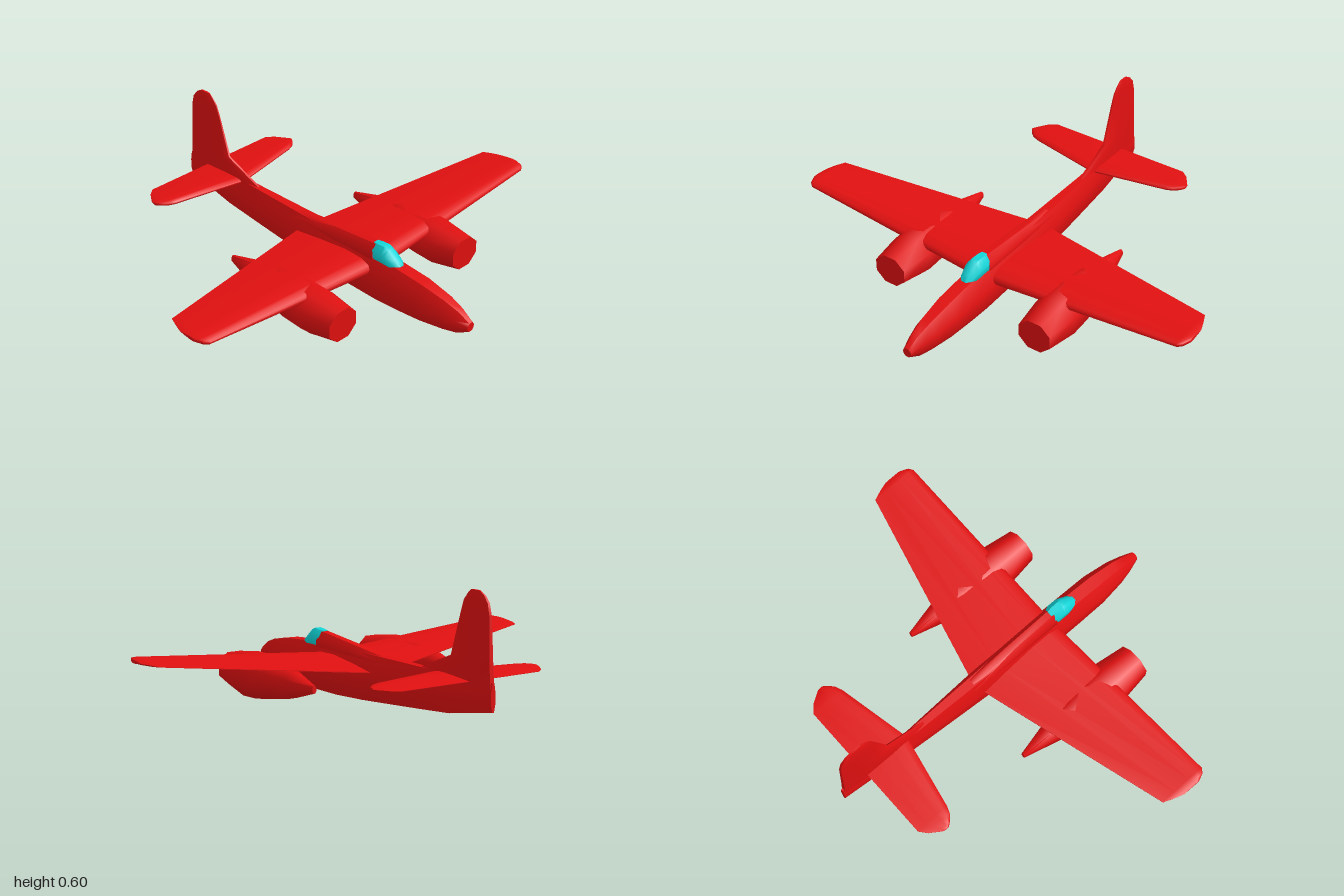
import * as THREE from 'three';
import { toCreasedNormals } from 'three/addons/utils/BufferGeometryUtils.js';

// Skin a list of equal-length rings of [x, y, z] points and close both ends
function loft(rings, crease = 0.9) {
  const n = rings[0].length;
  const pts = rings.flat();
  const tris = [];
  for (let r = 0; r < rings.length - 1; r++) {
    for (let i = 0; i < n; i++) {
      const j = (i + 1) % n;
      const a = r * n + i, b = r * n + j, c = a + n, d = b + n;
      tris.push([a, b, d], [a, d, c]);
    }
  }
  const last = (rings.length - 1) * n;
  for (let i = 1; i < n - 1; i++) {
    tris.push([0, i + 1, i], [last, last + i, last + i + 1]);
  }
  // The enclosed volume tells whether the faces look outward
  const v = pts.map((p) => new THREE.Vector3(...p));
  let volume = 0;
  for (const [a, b, c] of tris) volume += v[a].dot(v[b].clone().cross(v[c]));
  if (volume < 0) tris.forEach((t) => t.reverse());
  const geo = new THREE.BufferGeometry();
  geo.setAttribute('position', new THREE.Float32BufferAttribute(pts.flat(), 3));
  geo.setIndex(tris.flat());
  return toCreasedNormals(geo, crease);
}

// Eight-sided body section: half width w, bottom y0, top y1
function bodyRing([z, w, y0, y1], topWidth = 0.42) {
  const h = y1 - y0;
  const half = [[0.42, 0], [1, 0.3], [1, 0.65], [topWidth, 1]];
  const right = half.map(([fx, fy]) => [fx * w, y0 + fy * h, z]);
  return [...right, ...right.map(([x, y]) => [-x, y, z]).reverse()];
}

// Aerofoil as [chord fraction, thickness fraction], from leading edge round
const upper = [[0, 0.12], [0.03, 0.32], [0.14, 0.48], [0.35, 0.5], [0.7, 0.28], [1, 0.03]];
const aerofoil = [...upper, ...upper.map(([c, t]) => [c, -t]).reverse()];

// Horizontal surface from half-span stations [x, leading z, trailing z, y, thickness]
function wingGeometry(stations) {
  const mirrored = stations.slice(1).reverse().map(([x, ...rest]) => [-x, ...rest]);
  return loft([...mirrored, ...stations].map(([x, z0, z1, y, t]) =>
    aerofoil.map(([c, k]) => [x, y + k * t, z0 + (z1 - z0) * c])));
}

export function createModel() {
  const red = new THREE.MeshStandardMaterial({ color: 0xe01010 });
  red.name = 'red paint';
  const cyan = new THREE.MeshStandardMaterial({ color: 0x12d5d8 });
  cyan.name = 'cyan glass';
  const model = new THREE.Group();
  model.name = 'aeroplane';
  const add = (name, geometry, material = red) => {
    const mesh = new THREE.Mesh(geometry, material);
    mesh.name = name;
    model.add(mesh);
    return mesh;
  };

  // Fuselage
  add('fuselage', loft([
    [0.88, 0.02, 0.083, 0.125], [0.82, 0.038, 0.052, 0.16], [0.75, 0.054, 0.038, 0.183],
    [0.62, 0.069, 0.02, 0.207], [0.48, 0.07, 0.008, 0.218], [0.36, 0.07, 0.002, 0.225],
    [0.2, 0.068, 0.004, 0.228], [0, 0.061, 0.015, 0.23], [-0.2, 0.051, 0.031, 0.23],
    [-0.41, 0.04, 0.048, 0.23], [-0.61, 0.028, 0.065, 0.235], [-0.88, 0.012, 0.115, 0.235],
  ].map((s) => bodyRing(s))));

  // Raised spine running back from the canopy
  add('spine', loft([
    [0.35, 0.04, 0.16, 0.277], [0.1, 0.04, 0.16, 0.254], [-0.14, 0.035, 0.16, 0.229],
  ].map((s) => bodyRing(s, 0.4))));

  // Canopy
  add('canopy', loft([
    [0.487, 0.018, 0.19, 0.222], [0.465, 0.03, 0.19, 0.24], [0.42, 0.04, 0.19, 0.275],
    [0.4, 0.041, 0.19, 0.284], [0.36, 0.041, 0.19, 0.281], [0.335, 0.03, 0.19, 0.279],
  ].map((s) => bodyRing(s, 0.4))), cyan);

  // Main wing with dihedral
  add('wing', wingGeometry([
    [0, 0.355, -0.115, 0.152, 0.075], [0.965, 0.355, 0.122, 0.247, 0.03],
    [0.985, 0.34, 0.17, 0.25, 0.024], [1, 0.305, 0.215, 0.25, 0.015],
  ]));

  // Tailplane
  add('tailplane', wingGeometry([
    [0, -0.51, -0.75, 0.222, 0.024], [0.355, -0.583, -0.75, 0.222, 0.024],
    [0.39, -0.597, -0.722, 0.222, 0.021], [0.415, -0.62, -0.685, 0.222, 0.017],
    [0.428, -0.638, -0.665, 0.222, 0.012],
  ]));

  // Fin with a forward fillet: [y, leading z, trailing z, half thickness]
  const finSection = [[0, 0.25], [0.12, 0.7], [0.4, 1], [0.8, 0.85], [1, 0.5]];
  const finOutline = [...finSection, ...finSection.map(([c, t]) => [c, -t]).reverse()];
  add('fin', loft([
    [0.2, -0.36, -0.873, 0.022], [0.232, -0.415, -0.871, 0.021], [0.31, -0.61, -0.866, 0.019],
    [0.5, -0.672, -0.857, 0.013], [0.55, -0.69, -0.845, 0.011],
    [0.58, -0.715, -0.82, 0.009], [0.597, -0.735, -0.79, 0.005],
  ].map(([y, z0, z1, w]) => finOutline.map(([c, t]) => [t * w, y, z0 + (z1 - z0) * c]))));

  // Engine nacelles: eight-sided, flat at the front and pointed behind
  const nacelle = loft([
    [0.515, 0.078, 0.05, 0.194], [0.36, 0.098, 0.02, 0.215], [0.25, 0.096, 0.025, 0.216],
    [0.13, 0.077, 0.044, 0.21], [0, 0.047, 0.066, 0.188], [-0.165, 0.01, 0.115, 0.148],
  ].map(([z, w, y0, y1]) => Array.from({ length: 8 }, (_, i) => {
    const a = (i + 0.5) * Math.PI / 4;
    const k = 1 / Math.cos(Math.PI / 8);
    return [Math.cos(a) * w * k, (y0 + y1) / 2 + Math.sin(a) * k * (y1 - y0) / 2, z];
  })));
  add('leftNacelle', nacelle).position.x = 0.384;
  add('rightNacelle', nacelle).position.x = -0.384;

  return model;
}
